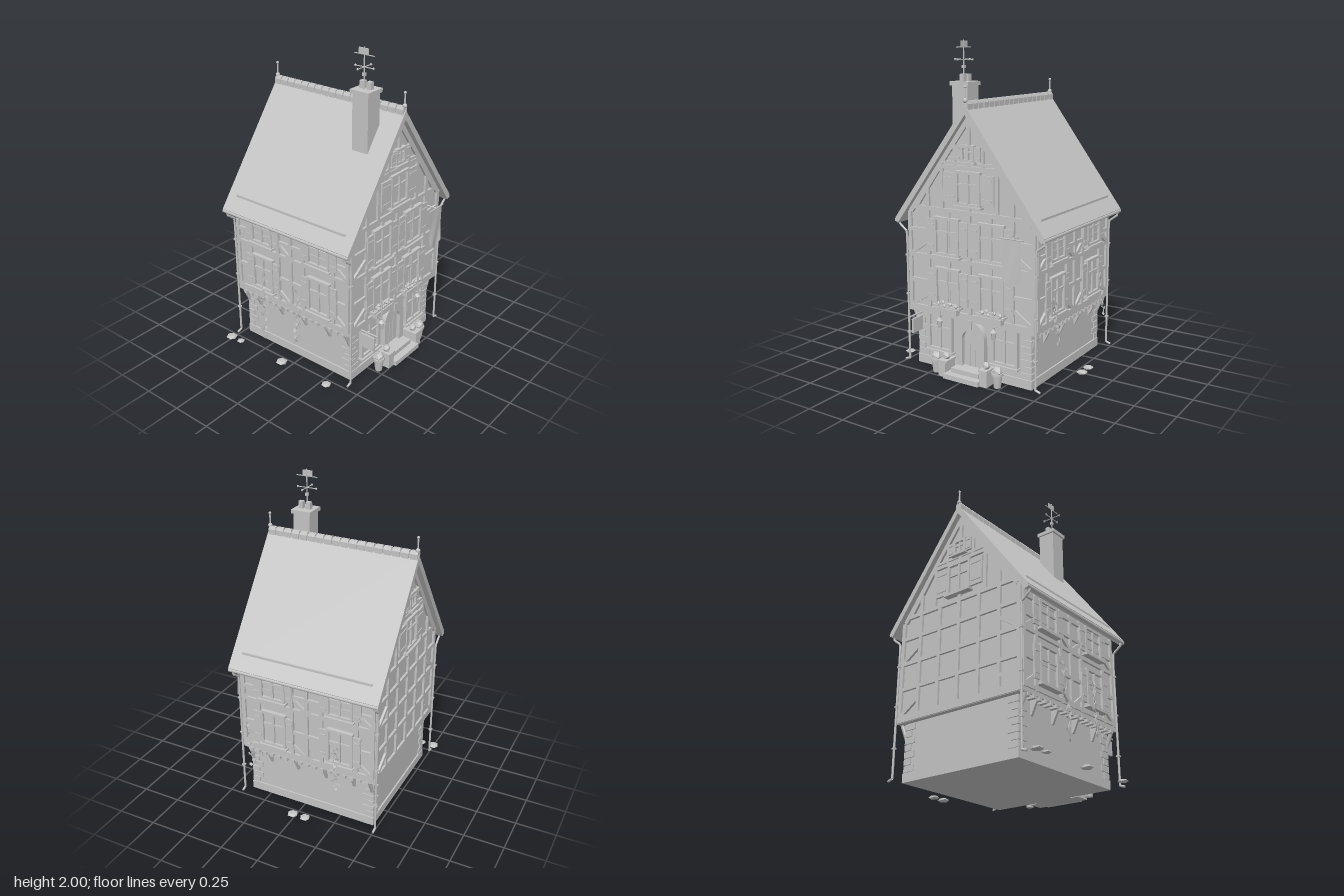
import * as THREE from 'three';

const grey = new THREE.MeshStandardMaterial({ color: 0xc4c4c4 });
grey.name = 'plain grey';
const greyThin = grey.clone();
greyThin.name = 'plain grey, two sided';
greyThin.side = THREE.DoubleSide;

const V = (x, y, z) => new THREE.Vector3(x, y, z);
function add(parent, name, geo, x = 0, y = 0, z = 0, mat = grey) {
  const m = new THREE.Mesh(geo, mat);
  m.name = name;
  m.position.set(x, y, z);
  parent.add(m);
  return m;
}
const box = (p, name, w, h, d, x, y, z) => add(p, name, new THREE.BoxGeometry(w, h, d), x, y, z);
// box given by its limits
const span = (p, name, x0, x1, y0, y1, z0, z1) =>
  box(p, name, x1 - x0, y1 - y0, z1 - z0, (x0 + x1) / 2, (y0 + y1) / 2, (z0 + z1) / 2);
// round bar between two points
function rod(p, name, a, b, r, n = 8) {
  const d = b.clone().sub(a), c = a.clone().add(b).multiplyScalar(0.5);
  const m = add(p, name, new THREE.CylinderGeometry(r, r, d.length(), n), c.x, c.y, c.z);
  m.quaternion.setFromUnitVectors(V(0, 1, 0), d.normalize());
  return m;
}
// flat timber on a facade, from (x0,y0) to (x1,y1)
function timber(p, x0, y0, x1, y1, w = 0.022, t = 0.014) {
  const m = box(p, 'timber', Math.hypot(x1 - x0, y1 - y0), w, t, (x0 + x1) / 2, (y0 + y1) / 2, t / 2);
  m.rotation.z = Math.atan2(y1 - y0, x1 - x0);
}
const ball = (p, name, r, x, y, z) => add(p, name, new THREE.SphereGeometry(r, 10, 8), x, y, z);
function extrude(pts, depth) {
  return new THREE.ExtrudeGeometry(new THREE.Shape(pts.map(a => new THREE.Vector2(...a))), { depth, bevelEnabled: false });
}

function addWindow(p, x, y, w, h, shutter = 0, sill = true) {
  const g = new THREE.Group();
  g.name = 'window';
  g.position.set(x, y, 0);
  p.add(g);
  box(g, 'pane', w, h, 0.008, 0, 0, 0.006);
  for (const s of [-1, 1]) {
    box(g, 'frameSide', 0.016, h, 0.026, s * (w / 2 - 0.008), 0, 0.013);
    box(g, 'frameRail', w, 0.016, 0.026, 0, s * (h / 2 - 0.008), 0.013);
    if (shutter) {
      const sx = s * (w / 2 + shutter / 2);
      box(g, 'shutter', shutter, h * 0.86, 0.012, sx, 0, 0.014);
      for (const k of [-1, 1]) box(g, 'shutterBatten', shutter * 0.8, 0.012, 0.006, sx, k * h * 0.27, 0.022);
    }
  }
  box(g, 'mullion', 0.012, h, 0.02, 0, 0, 0.012);
  box(g, 'crossbar', w, 0.01, 0.018, 0, h * 0.12, 0.011);
  if (sill) box(g, 'sill', w + 0.02, 0.012, 0.04, 0, -h / 2 - 0.004, 0.02);
}

// group whose +z points out of a wall
function facade(house, name, x, z, turn) {
  const g = new THREE.Group();
  g.name = name;
  g.position.set(x, 0, z);
  g.rotation.y = turn;
  house.add(g);
  return g;
}

function gableWall(g, withWindows) {
  const edge = y => Math.min(0.45, (1.575 - y) / 1.347);
  for (const y of [0.37, 0.55, 0.71, 0.87, 1.01, 1.275]) timber(g, -edge(y), y, edge(y), y, y < 0.4 ? 0.045 : 0.024);
  timber(g, -0.2, 1.3, 0.2, 1.3, 0.016);
  timber(g, 0, 0.35, 0, 1.05);
  timber(g, 0, 1.26, 0, 1.57);
  for (const s of [-1, 1]) {
    timber(g, s * 0.44, 0.35, s * 0.44, 0.98, 0.026);
    timber(g, s * 0.15, 0.35, s * 0.15, 1.01);
    timber(g, s * 0.3, 0.35, s * 0.3, 1.15);
    timber(g, s * 0.195, 1.01, s * 0.195, 1.28);
    timber(g, s * 0.1, 1.28, s * 0.1, 1.43, 0.016);
    timber(g, s * 0.43, 0.98, 0, 1.558, 0.03);
    timber(g, s * 0.43, 0.72, s * 0.31, 0.8);
    timber(g, s * 0.43, 0.39, s * 0.31, 0.47);
    timber(g, s * 0.38, 1.02, s * 0.21, 1.26, 0.02);
    timber(g, s * 0.2, 1.28, s * 0.12, 1.39, 0.016);
    if (withWindows) for (const y of [0.85, 0.54]) addWindow(g, s * 0.158, y, 0.18, 0.235, 0.06);
  }
  addWindow(g, 0, 1.155, 0.175, 0.205, 0.09);
  addWindow(g, 0, 1.36, 0.095, 0.1, 0.04);
}

function sideWall(g, dir) {
  for (const y of [0.385, 0.55, 0.71, 0.8, 0.91]) timber(g, -0.44, y, 0.44, y);
  for (const u of [-0.435, -0.33, -0.1, 0, 0.1, 0.33, 0.435]) timber(g, u, 0.37, u, 0.96);
  for (const s of [-1, 1]) {
    timber(g, s * 0.43, 0.39, s * 0.34, 0.46);
    timber(g, s * 0.43, 0.72, s * 0.34, 0.79);
    timber(g, s * 0.01, 0.39, s * 0.1, 0.46);
    timber(g, s * 0.01, 0.72, s * 0.1, 0.79);
    for (const y of [0.54, 0.835]) addWindow(g, s * 0.225, y, 0.17, y > 0.7 ? 0.18 : 0.235, 0.05);
  }
  // jetty joists and the brackets under them
  for (let i = 0; i < 17; i++) box(g, 'joistEnd', 0.022, 0.024, 0.05, -0.4 + i * 0.05, 0.338, -0.012);
  for (const u of [-0.27, -0.08, 0.115, 0.305])
    add(g, 'jettyBracket', extrude([[-0.05, 0.25], [-0.036, 0.25], [0, 0.325], [0, 0.345], [-0.05, 0.345]], 0.016)
      .rotateY(-Math.PI / 2), u * dir, 0, 0);
}

function vine(p, x, z, y0, y1, lean, seed) {
  const g = new THREE.Group();
  g.name = 'vine';
  p.add(g);
  const n = 16, pts = [];
  for (let i = 0; i <= n; i++) {
    const t = i / n, y = y0 + (y1 - y0) * t;
    const q = V(x - Math.sign(x) * 0.02 * t, y, z + lean * t + 0.012 * Math.sin(i * 1.7 + seed));
    pts.push(q);
    const leaf = add(g, 'leaf', new THREE.CircleGeometry(0.012, 5), q.x, q.y, q.z + 0.012 * (i % 2 ? 1 : -1), greyThin);
    leaf.rotation.set(i * 1.3 + seed, Math.PI / 2 + 0.5 * Math.sin(i * 2 + seed), 0);
  }
  add(g, 'vineStem', new THREE.TubeGeometry(new THREE.CatmullRomCurve3(pts), 32, 0.003, 5));
}

export function createModel() {
  const root = new THREE.Group();
  root.name = 'timberFramedHouse';
  const house = new THREE.Group();
  house.name = 'house';
  house.position.z = -0.043;
  root.add(house);

  // ground floor, plinth and corner stones
  span(house, 'groundFloor', -0.405, 0.405, 0.01, 0.35, -0.42, 0.42);
  span(house, 'plinth', -0.415, 0.415, 0, 0.055, -0.43, 0.43);
  for (const sx of [-1, 1]) for (const sz of [-1, 1]) for (let i = 0; i < 7; i++) {
    const a = i % 2 ? 0.05 : 0.075, b = i % 2 ? 0.075 : 0.05;
    box(house, 'cornerStone', a, 0.036, b, sx * (0.412 - a / 2), 0.076 + i * 0.041, sz * (0.427 - b / 2));
  }

  // upper floors with gables
  const walls = [[-0.45, 0.35], [0.45, 0.35], [0.45, 0.985], [0, 1.59], [-0.45, 0.985]];
  add(house, 'upperWalls', extrude(walls, 0.89), 0, 0, -0.445);
  span(house, 'jettyBeam', -0.458, 0.458, 0.345, 0.372, -0.453, 0.453);
  const front = facade(house, 'frontFacade', 0, 0.445, 0);
  gableWall(front, true);
  gableWall(facade(house, 'backFacade', 0, -0.445, Math.PI), false);
  sideWall(facade(house, 'leftFacade', 0.45, 0, Math.PI / 2), 1);
  sideWall(facade(house, 'rightFacade', -0.45, 0, -Math.PI / 2), -1);

  // roof, ridge tiles, finials and snow rails
  const roof = [[-0.527, 0.932], [-0.508, 0.9], [0, 1.585], [0.508, 0.9], [0.527, 0.932], [0, 1.64]];
  add(house, 'roof', extrude(roof, 0.98), 0, 0, -0.49);
  for (let i = 0; i < 18; i++) {
    const tile = [[-0.02, 1.61], [0.02, 1.61], [0.02, 1.645], [0.01, 1.662], [-0.01, 1.662], [-0.02, 1.645]];
    add(house, 'ridgeTile', extrude(tile, 0.046), 0, 0, -0.487 + i * 0.0543);
  }
  span(house, 'ridgeCore', -0.016, 0.016, 1.61, 1.65, -0.485, 0.485);
  for (const z of [-0.48, 0.48]) {
    rod(house, 'finial', V(0, 1.64, z), V(0, 1.74, z), 0.005);
    ball(house, 'finialBall', 0.009, 0, 1.742, z);
    ball(house, 'finialBase', 0.014, 0, 1.665, z);
  }
  for (const s of [-1, 1]) {
    span(house, 'snowRail', s * 0.464 - 0.004, s * 0.464 + 0.004, 1.01, 1.025, -0.425, 0.425);
    rod(house, 'gutter', V(s * 0.52, 0.918, -0.49), V(s * 0.52, 0.918, 0.49), 0.012);
    for (const z of [-0.462, 0.462]) {
      const path = [V(s * 0.52, 0.915, z), V(s * 0.515, 0.89, z), V(s * 0.463, 0.85, z), V(s * 0.46, 0.8, z), V(s * 0.46, 0.025, z), V(s * 0.492, 0.015, z)];
      for (let i = 0; i < 5; i++) rod(house, 'downpipe', path[i], path[i + 1], 0.007);
      for (const y of [0.2, 0.45, 0.7]) box(house, 'pipeClip', 0.02, 0.01, 0.02, s * 0.46, y, z);
      const brace = rod(house, 'cornerBrace', V(s * 0.408, 0.25, z * 0.9), V(s * 0.45, 0.345, z * 0.9), 0.012, 4);
      brace.rotateY(Math.PI / 4);
    }
  }

  // chimney and weather vane
  span(root, 'chimney', -0.18, -0.07, 1.25, 1.75, 0.205, 0.315);
  span(root, 'chimneyCap', -0.191, -0.06, 1.738, 1.762, 0.194, 0.326);
  for (const z of [0.235, 0.285]) span(root, 'chimneyPot', -0.137, -0.108, 1.76, 1.805, z - 0.015, z + 0.015);
  const vane = new THREE.Group();
  vane.name = 'weatherVane';
  vane.position.set(-0.138, 0, 0.255);
  root.add(vane);
  rod(vane, 'vanePole', V(0, 1.75, 0), V(0, 2, 0), 0.004);
  box(vane, 'vaneHub', 0.018, 0.018, 0.018, 0, 1.845, 0);
  for (const d of [V(0.062, 0, 0), V(0, 0, 0.062)]) {
    rod(vane, 'vaneArm', V(0, 1.887, 0).sub(d), V(0, 1.887, 0).add(d), 0.003);
    for (const s of [-1, 1]) ball(vane, 'vaneArmTip', 0.007, s * d.x, 1.887, s * d.z);
  }
  rod(vane, 'vaneArrow', V(0, 1.957, -0.07), V(0, 1.957, 0.07), 0.003);
  box(vane, 'vaneFlag', 0.006, 0.035, 0.065, 0, 1.976, -0.005);

  // door with stone arch
  const arch = new THREE.Shape();
  arch.moveTo(-0.1, 0.05).lineTo(0.1, 0.05).lineTo(0.1, 0.25).absarc(0, 0.25, 0.1, 0, Math.PI, false).lineTo(-0.1, 0.05);
  const hole = new THREE.Path();
  hole.moveTo(-0.06, 0.05).lineTo(-0.06, 0.23).absarc(0, 0.23, 0.06, Math.PI, 0, true).lineTo(0.06, 0.05).lineTo(-0.06, 0.05);
  arch.holes.push(hole);
  add(house, 'doorArch', new THREE.ExtrudeGeometry(arch, { depth: 0.04, bevelEnabled: false }), 0, 0, 0.415);
  span(house, 'door', -0.062, 0.062, 0.05, 0.295, 0.415, 0.43);
  for (const x of [-0.02, 0.02]) span(house, 'doorGroove', x - 0.003, x + 0.003, 0.05, 0.27, 0.43, 0.434);
  span(house, 'keystone', -0.015, 0.015, 0.3, 0.36, 0.42, 0.465);
  span(root, 'lowerStep', -0.125, 0.125, 0, 0.03, 0.36, 0.52);
  span(root, 'upperStep', -0.1, 0.1, 0.03, 0.058, 0.36, 0.475);

  const plant = (x, y, z, r) => add(root, 'plant', new THREE.IcosahedronGeometry(r, 0), x, y, z);
  const ground = facade(house, 'groundFrontFacade', 0, 0.42, 0);
  for (const s of [-1, 1]) {
    // shop windows, pillars, pots, lanterns and flower boxes
    addWindow(ground, s * 0.235, 0.235, 0.18, 0.24);
    span(root, 'stepPillar', s * 0.15 - 0.026, s * 0.15 + 0.026, 0, 0.09, 0.4, 0.5);
    box(root, 'pillarCap', 0.06, 0.012, 0.1, s * 0.145, 0.095, 0.45);
    plant(s * 0.145, 0.118, 0.455, 0.026);
    add(root, 'flowerPot', new THREE.CylinderGeometry(0.032, 0.022, 0.085, 10), s * 0.222, 0.043, 0.455);
    add(root, 'potRim', new THREE.CylinderGeometry(0.037, 0.037, 0.014, 10), s * 0.222, 0.084, 0.455);
    plant(s * 0.222, 0.098, 0.455, 0.035);
    rod(root, 'lanternBracket', V(s * 0.195, 0.36, 0.4), V(s * 0.195, 0.36, 0.455), 0.004);
    rod(root, 'lanternRod', V(s * 0.195, 0.33, 0.452), V(s * 0.195, 0.49, 0.452), 0.004);
    add(root, 'lantern', new THREE.CylinderGeometry(0.017, 0.011, 0.045, 6), s * 0.195, 0.312, 0.452);
    add(root, 'lanternHood', new THREE.ConeGeometry(0.022, 0.022, 6), s * 0.195, 0.345, 0.452);
    box(root, 'flowerBox', 0.17, 0.035, 0.04, s * 0.158, 0.395, 0.43);
    for (let i = 0; i < 8; i++)
      plant(s * 0.158 - 0.074 + i * 0.021, 0.425 + 0.008 * (i % 3), 0.43 + 0.008 * (i % 2 ? 1 : -1), 0.013);
  }

  // hanging sign
  rod(root, 'signBar', V(-0.355, 0.35, 0.37), V(-0.355, 0.35, 0.535), 0.005);
  box(root, 'signBoard', 0.012, 0.09, 0.095, -0.355, 0.285, 0.468);
  for (const z of [0.435, 0.5]) rod(root, 'signChain', V(-0.355, 0.325, z), V(-0.355, 0.35, z), 0.002);

  // banner with a pointed, gently waving cloth
  const cloth = new THREE.PlaneGeometry(0.125, 0.28, 8, 12);
  const cp = cloth.attributes.position;
  for (let i = 0; i < cp.count; i++) {
    const x = cp.getX(i), t = 0.5 - cp.getY(i) / 0.28;
    cp.setY(i, cp.getY(i) + t * 0.04 * Math.abs(x) / 0.0625);
    cp.setZ(i, 0.006 * t * Math.sin(x * 60 + t * 4));
  }
  cloth.computeVertexNormals();
  add(root, 'banner', cloth, 0.332, 0.77, 0.475, greyThin);
  rod(root, 'bannerRail', V(0.255, 0.912, 0.475), V(0.41, 0.912, 0.475), 0.004);
  rod(root, 'bannerArm', V(0.332, 0.912, 0.4), V(0.332, 0.912, 0.48), 0.005);

  // vines and shrubs along the sides
  vine(root, 0.543, 0.285, 0.27, 0.56, 0.045, 0);
  vine(root, 0.543, -0.28, 0.3, 0.57, 0.02, 2);
  vine(root, -0.545, -0.2, 0.13, 0.57, -0.01, 1);
  vine(root, -0.545, 0.065, 0.2, 0.56, 0.01, 3);
  for (const [x, z, r] of [[0.55, -0.07, 0.034], [0.552, 0.015, 0.036], [-0.55, -0.502, 0.038], [-0.55, -0.42, 0.026], [-0.55, -0.06, 0.038], [-0.55, 0.303, 0.032]]) {
    const m = add(root, 'groundStone', new THREE.IcosahedronGeometry(r, 0), x, 0.014, z);
    m.scale.y = 0.35;
  }
  return root;
}
